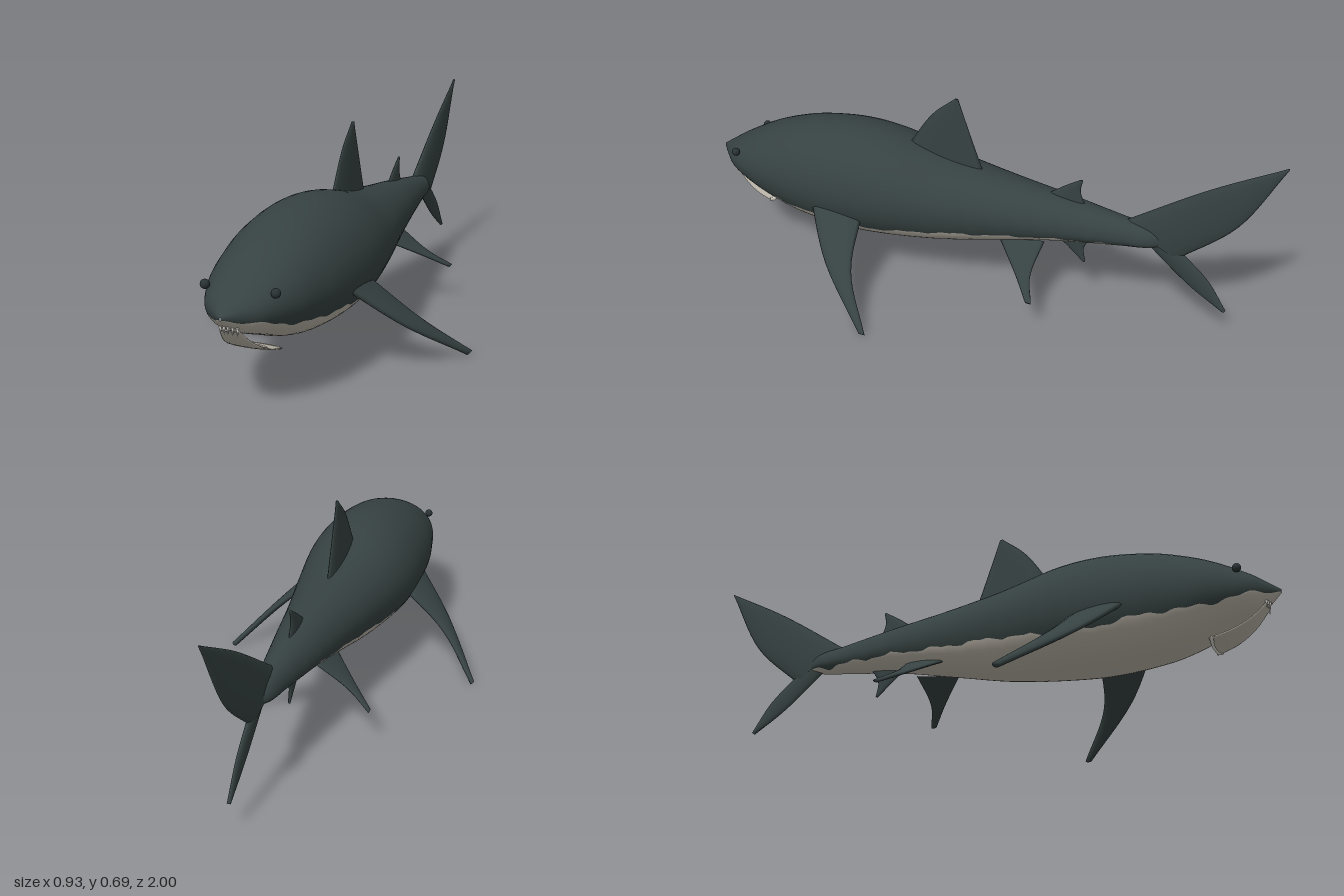
import * as THREE from 'three';

const material = (name, color, extra = {}) => {
  const m = new THREE.MeshStandardMaterial({ color, ...extra });
  m.name = name;
  return m;
};
const V = (p) => new THREE.Vector3(...p);
const curve = (points) => new THREE.CatmullRomCurve3(points.map(V), false, 'catmullrom', 0.5);

function makeGeometry(positions, index) {
  const g = new THREE.BufferGeometry();
  g.setAttribute('position', new THREE.Float32BufferAttribute(positions, 3));
  g.setIndex(index);
  g.computeVertexNormals();
  return g;
}

// Body stations, nose to tail: z, top y, bottom y, half width, colour line y
const STATIONS = [
  [0.995, 0.325, 0.315, 0.004, 0.317], [0.95, 0.355, 0.28, 0.055, 0.304],
  [0.9, 0.387, 0.25, 0.1, 0.287], [0.8, 0.442, 0.21, 0.147, 0.26],
  [0.7, 0.482, 0.172, 0.172, 0.243], [0.6, 0.508, 0.15, 0.19, 0.238],
  [0.45, 0.525, 0.137, 0.2, 0.222], [0.3, 0.513, 0.143, 0.194, 0.225],
  [0.1, 0.465, 0.165, 0.16, 0.25], [-0.1, 0.435, 0.208, 0.12, 0.268],
  [-0.3, 0.41, 0.253, 0.086, 0.288], [-0.5, 0.38, 0.28, 0.052, 0.297],
  [-0.6, 0.365, 0.293, 0.037, 0.3], [-0.66, 0.335, 0.31, 0.004, 0.317],
];

// Rings whose vertices meet the wavy line between back and belly colours
function bodyGeometry() {
  const rows = 104, backSteps = 32, bellySteps = 20, ring = backSteps + bellySteps, midY = 0.32;
  const size = curve(STATIONS.map((s) => [s[1], s[2], s[3]]));
  const line = curve(STATIONS.map((s) => [s[0], s[4], 0]));
  const positions = [], back = [], belly = [];
  for (let i = 0; i <= rows; i++) {
    const { x: top, y: bottom, z: width } = size.getPoint(i / rows);
    const { x: z, y: lineY } = line.getPoint(i / rows);
    const wave = 0.004 * Math.sin(z * 37) + 0.003 * Math.sin(z * 83 + 1);
    const s = THREE.MathUtils.clamp((lineY + wave - midY) / (midY - bottom), -0.95, 0);
    const edge = Math.asin(s);
    for (let k = 0; k < ring; k++) {
      const a = k < backSteps
        ? edge + (Math.PI - 2 * edge) * (k / backSteps)
        : Math.PI - edge + (Math.PI + 2 * edge) * ((k - backSteps) / bellySteps);
      const h = Math.sin(a);
      positions.push(width * Math.cos(a), midY + h * (h > 0 ? top - midY : midY - bottom), z);
      if (i === rows) continue;
      const p = i * ring + k, q = i * ring + ((k + 1) % ring);
      (k < backSteps ? back : belly).push(p, p + ring, q, q, p + ring, q + ring);
    }
  }
  const g = makeGeometry(positions, [...back, ...belly]);
  g.addGroup(0, back.length, 0);
  g.addGroup(back.length, belly.length, 1);
  return g;
}

// Lens-section blade between a leading and a trailing edge, root to tip
function bladeGeometry(lead, trail, normal, rootThick, tipThick) {
  const rows = 14, ring = 14;
  const a = curve(lead), b = curve(trail), n = V(normal).normalize();
  const chord = V(trail[0]).sub(V(lead[0]));
  const span = V(lead[lead.length - 1]).sub(V(lead[0]));
  if (chord.cross(span).dot(n) < 0) n.negate();
  const positions = [], index = [], tip = (rows + 1) * ring;
  for (let i = 0; i <= rows; i++) {
    const t = i / rows, p = a.getPoint(t), q = b.getPoint(t);
    const half = THREE.MathUtils.lerp(rootThick, tipThick, t) / 2;
    for (let k = 0; k < ring; k++) {
      const angle = (k / ring) * Math.PI * 2;
      const v = p.clone().lerp(q, (1 - Math.cos(angle)) / 2).addScaledVector(n, half * Math.sin(angle));
      positions.push(v.x, v.y, v.z);
      const c = i * ring + k, d = i * ring + ((k + 1) % ring);
      if (i < rows) index.push(c, d, c + ring, d, d + ring, c + ring);
      else index.push(c, d, tip);
    }
  }
  const end = a.getPoint(1).lerp(b.getPoint(1), 0.5);
  positions.push(end.x, end.y, end.z);
  return makeGeometry(positions, index);
}

export function createModel() {
  const group = new THREE.Group();
  group.name = 'shark';
  const skin = material('dark skin', 0x364141);
  const pale = material('pale belly', 0xbcb6aa);
  const tooth = material('tooth ivory', 0xdedad0);
  const eyeDark = material('eye dark', 0x293234);
  const add = (name, geometry, mat) => {
    const mesh = new THREE.Mesh(geometry, mat);
    mesh.name = name;
    group.add(mesh);
    return mesh;
  };

  add('body', bodyGeometry(), [skin, pale]);

  // Fins on the centre line, edges given as [y, z]
  const centreFin = (name, lead, trail, root, tip) => {
    const to3 = (pts) => pts.map(([y, z]) => [0, y, z]);
    add(name, bladeGeometry(to3(lead), to3(trail), [1, 0, 0], root, tip), skin);
  };
  centreFin('dorsalFin', [[0.47, 0.26], [0.61, 0.168], [0.69, 0.08]],
    [[0.41, -0.03], [0.555, 0.022], [0.688, 0.068]], 0.03, 0.008);
  centreFin('secondDorsalFin', [[0.385, -0.22], [0.447, -0.3], [0.485, -0.358]],
    [[0.37, -0.39], [0.435, -0.362], [0.482, -0.366]], 0.02, 0.007);
  centreFin('analFin', [[0.28, -0.25], [0.22, -0.325], [0.17, -0.382]],
    [[0.29, -0.42], [0.23, -0.383], [0.173, -0.389]], 0.02, 0.008);
  centreFin('upperTailFin', [[0.375, -0.52], [0.545, -0.77], [0.676, -1]],
    [[0.27, -0.7], [0.435, -0.875], [0.67, -1]], 0.04, 0.008);
  centreFin('lowerTailFin', [[0.32, -0.57], [0.18, -0.735], [0.1, -0.86]],
    [[0.31, -0.69], [0.212, -0.8], [0.107, -0.87]], 0.026, 0.012);

  // Paired fins and eyes
  for (const [side, s] of [['left', 1], ['right', -1]]) {
    const flip = (pts) => pts.map(([x, y, z]) => [s * x, y, z]);
    add(side + 'PectoralFin', bladeGeometry(
      flip([[0.17, 0.288, 0.55], [0.315, 0.148, 0.425], [0.455, 0.009, 0.235]]),
      flip([[0.155, 0.275, 0.36], [0.32, 0.145, 0.325], [0.458, 0.012, 0.212]]),
      [s, 1, 0], 0.036, 0.018), skin);
    add(side + 'PelvicFin', bladeGeometry(
      flip([[0.06, 0.24, -0.1], [0.155, 0.176, -0.195], [0.23, 0.125, -0.262]]),
      flip([[0.05, 0.25, -0.26], [0.15, 0.18, -0.25], [0.232, 0.126, -0.283]]),
      [0.57 * s, 0.82, 0], 0.02, 0.012), skin);
    add(side + 'Eye', new THREE.SphereGeometry(0.014, 20, 14), eyeDark).position.set(s * 0.108, 0.37, 0.88);
  }

  // Hanging jaw flap with a lip along its lower end
  const jawEdge = (s) => [[s * 0.03, 0.277, 0.95], [s * 0.048, 0.226, 0.9], [s * 0.064, 0.19, 0.84], [s * 0.073, 0.168, 0.77]];
  add('jaw', bladeGeometry(jawEdge(1), jawEdge(-1), [0, 0.8, -0.5], 0.012, 0.012), pale);
  const lipPath = curve([[-0.073, 0.175, 0.785], [-0.055, 0.169, 0.777], [0, 0.168, 0.772], [0.055, 0.169, 0.777], [0.073, 0.175, 0.785]]);
  add('lip', new THREE.TubeGeometry(lipPath, 24, 0.006, 8), tooth);

  // Front teeth
  for (let i = -2; i <= 2; i++) {
    const cone = add('tooth', new THREE.ConeGeometry(0.005, 0.026, 8), tooth);
    cone.rotation.x = Math.PI;
    cone.position.set(i * 0.013, 0.274 - Math.abs(i) * 0.002, 0.955 - Math.abs(i) * 0.003);
  }
  return group;
}
